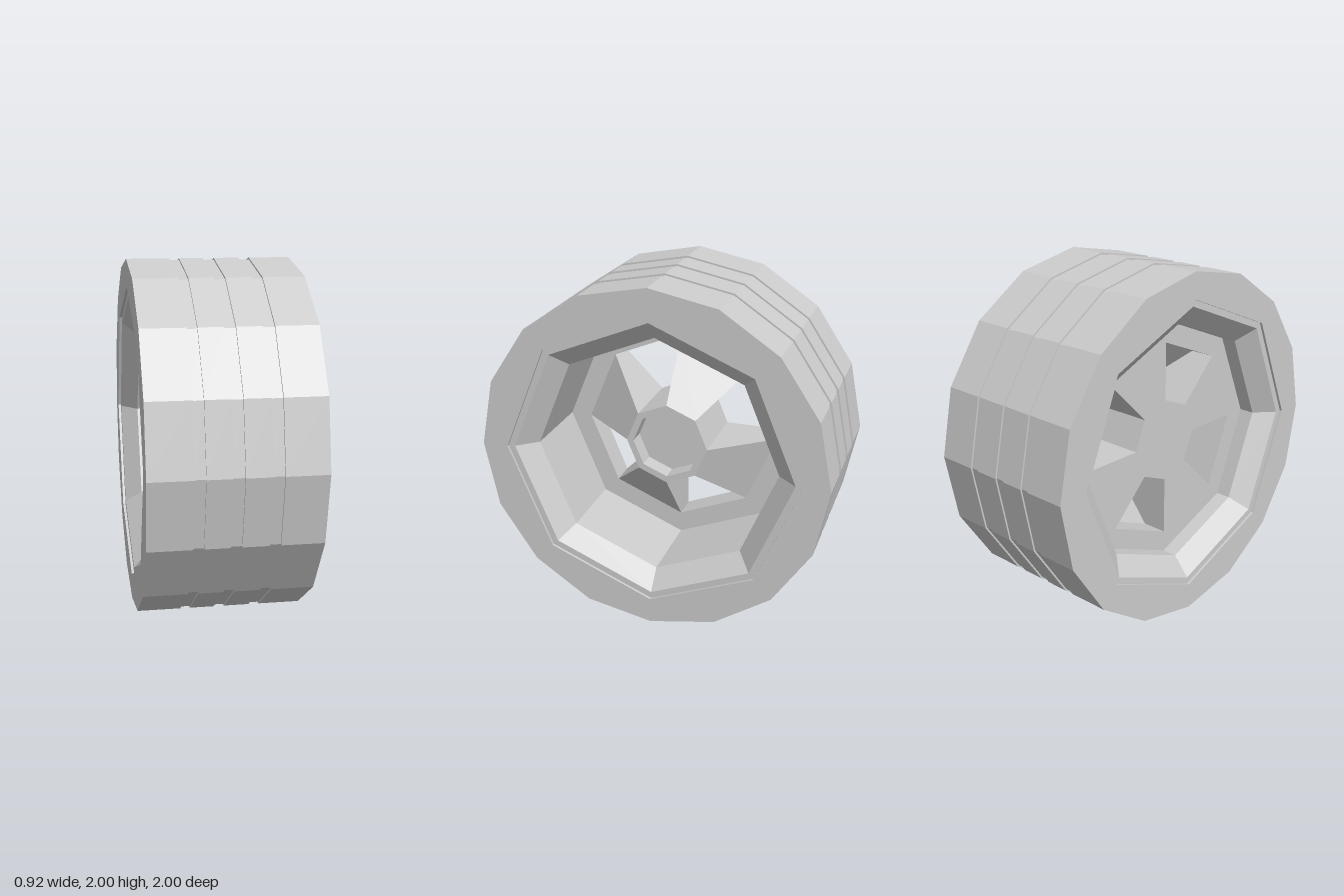
import * as THREE from 'three';

const HALF = 0.46;        // half width of the wheel
const BACK = -0.26;       // inner face of the rim disc
const DISC = -0.11;       // outer face of the rim disc
const HUB = 0.16;         // outer face of the hub

const material = new THREE.MeshStandardMaterial({ color: 0xcccccc, flatShading: true });

function addMesh(parent, name, geometry) {
  const mesh = new THREE.Mesh(geometry, material);
  mesh.name = name;
  parent.add(mesh);
  return mesh;
}

// Revolve [radius, x] points around the x axis
function revolve(profile, sides) {
  const points = profile.map(([r, x]) => new THREE.Vector2(r, x));
  return new THREE.LatheGeometry(points, sides).rotateZ(-Math.PI / 2);
}

function polygon(radius, sides) {
  return Array.from({ length: sides }, (_, i) => {
    const a = (i / sides) * Math.PI * 2;
    return new THREE.Vector2(radius * Math.cos(a), radius * Math.sin(a));
  });
}

// Tread profile with three shallow grooves
function treadProfile() {
  const profile = [[1, -HALF]];
  for (const [a, b] of [[-0.22, -0.165], [-0.03, 0.03], [0.17, 0.23]]) {
    profile.push([1, a], [0.99, a], [0.99, b], [1, b]);
  }
  profile.push([1, HALF]);
  return profile;
}

// Sixteen-sided side face with an octagonal opening
function sidewall(side) {
  const shape = new THREE.Shape(polygon(1, 16));
  shape.holes.push(new THREE.Path(polygon(0.85, 8).reverse()));
  return new THREE.ShapeGeometry(shape)
    .translate(0, 0, HALF)
    .rotateY(side * Math.PI / 2);
}

// One-eighth wedge, sloping from the hub face down to the disc
function spoke(index) {
  const outer = polygon(0.575, 8), inner = polygon(0.24, 8);
  const next = (index + 1) % 8;
  const shape = new THREE.Shape([inner[index], outer[index], outer[next], inner[next]]);
  const geometry = new THREE.ExtrudeGeometry(shape, { depth: HUB - BACK, bevelEnabled: false });
  geometry.translate(0, 0, BACK);
  const p = geometry.attributes.position;
  for (let i = 0; i < p.count; i++) {
    if (p.getZ(i) > 0 && Math.hypot(p.getX(i), p.getY(i)) > 0.4) p.setZ(i, DISC);
  }
  geometry.computeVertexNormals();
  return geometry.rotateY(Math.PI / 2);
}

export function createModel() {
  const model = new THREE.Group();
  model.name = 'wheel';
  const wheel = new THREE.Group();
  wheel.name = 'wheelAssembly';
  wheel.position.y = 1;
  model.add(wheel);

  // Tyre
  addMesh(wheel, 'tyreTread', revolve(treadProfile(), 16));
  addMesh(wheel, 'tyreSidewallLeft', sidewall(1));
  addMesh(wheel, 'tyreSidewallRight', sidewall(-1));

  // Octagonal rim: lip, chamfer, barrel and disc ring on both sides
  addMesh(wheel, 'rim', revolve([
    [0.85, HALF], [0.85, 0.445], [0.81, 0.445], [0.7, 0.35],
    [0.7, DISC], [0.575, DISC], [0.575, BACK], [0.7, BACK],
    [0.7, -0.35], [0.81, -0.445], [0.85, -0.445], [0.85, -HALF],
  ], 8));

  // Hub with a recessed centre
  addMesh(wheel, 'hub', revolve([
    [0, BACK], [0.24, BACK], [0.24, HUB], [0.2, HUB], [0.2, 0.06], [0, 0.06],
  ], 8));

  // Four spokes filling every second eighth
  const spokes = new THREE.Group();
  spokes.name = 'spokes';
  wheel.add(spokes);
  for (const i of [1, 3, 5, 7]) addMesh(spokes, 'spoke', spoke(i));

  return model;
}
